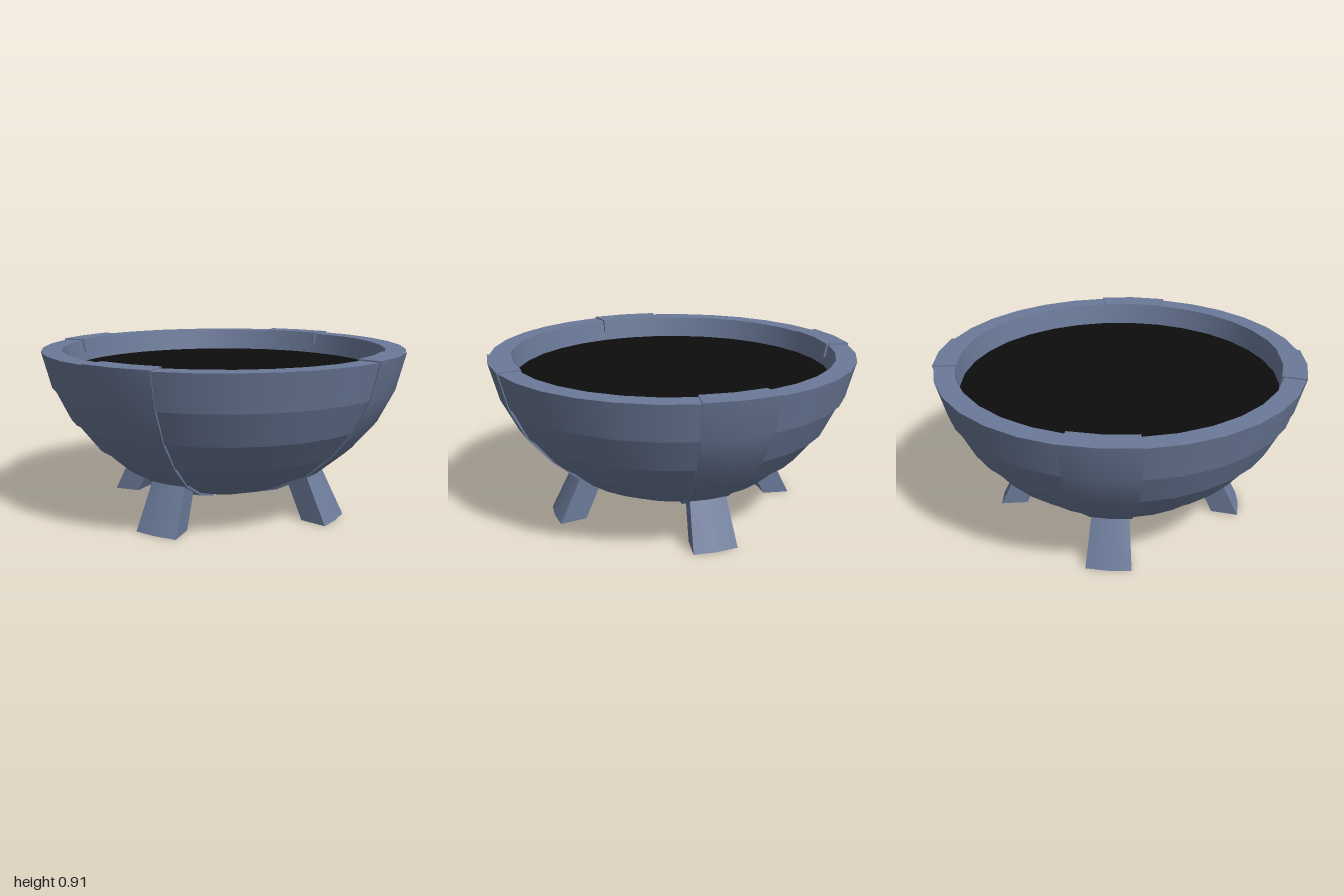
import * as THREE from 'three';
import { mergeGeometries } from 'three/addons/utils/BufferGeometryUtils.js';

const SEGMENTS = 32;
const metal = new THREE.MeshStandardMaterial({ name: 'blue grey metal', color: 0x6b7a99 });
const dark = new THREE.MeshStandardMaterial({ name: 'black filling', color: 0x0d0d0d });

const points = (list) => list.map(([r, y]) => new THREE.Vector2(r, y));
const rad = THREE.MathUtils.degToRad;

// Each run of profile points is smooth; edges between runs stay sharp.
function revolve(runs, start = 0, length = Math.PI * 2, segments = SEGMENTS) {
  return runs.map((run) => new THREE.LatheGeometry(points(run), segments, start, length));
}

// Slice of a revolved closed profile (counter-clockwise), with flat side caps.
function wedge(runs, start, end, segments = 2) {
  const parts = revolve(runs, start, end - start, segments);
  const shape = new THREE.Shape(points(runs.flatMap((run) => run.slice(0, -1))));
  for (const [angle, flip] of [[start, false], [end, true]]) {
    const cap = new THREE.ShapeGeometry(shape);
    if (flip) {
      cap.index.array.reverse();
      cap.attributes.normal.array.fill(-1, 2, 3);
      cap.computeVertexNormals();
    }
    parts.push(cap.rotateY(angle - Math.PI / 2));
  }
  return mergeGeometries(parts);
}

function add(parent, name, geometry, material) {
  const mesh = new THREE.Mesh(geometry, material);
  mesh.name = name;
  parent.add(mesh);
  return mesh;
}

export function createModel() {
  const model = new THREE.Group();
  model.name = 'fireBowl';

  // Bowl: rounded base, four overlapping bands, flat rim and inner wall
  const bowl = [
    [[0, 0.07], [0.19, 0.092], [0.38, 0.155], [0.56, 0.25]],
    [[0.56, 0.25], [0.57, 0.247]],
    [[0.57, 0.247], [0.715, 0.378]],
    [[0.715, 0.378], [0.725, 0.374]],
    [[0.725, 0.374], [0.848, 0.532]],
    [[0.848, 0.532], [0.856, 0.528]],
    [[0.856, 0.528], [0.942, 0.708]],
    [[0.942, 0.708], [0.95, 0.705]],
    [[0.95, 0.705], [1, 0.9]],
    [[1, 0.9], [0.89, 0.9]],
    [[0.89, 0.9], [0.87, 0.77]],
  ];
  add(model, 'bowl', mergeGeometries(revolve(bowl)), metal);

  // Dark filling inside the rim
  const filling = new THREE.CircleGeometry(0.876, SEGMENTS).rotateX(-Math.PI / 2);
  add(model, 'filling', filling, dark).position.y = 0.78;

  // Curved strap hooked over the rim
  const strap = wedge([
    [[0.18, 0.08], [0.385, 0.142], [0.575, 0.24], [0.735, 0.374], [0.866, 0.528], [0.956, 0.705], [1.008, 0.907]],
    [[1.008, 0.907], [0.878, 0.907]],
    [[0.878, 0.907], [0.866, 0.83]],
    [[0.866, 0.83], [0.93, 0.83]],
    [[0.93, 0.83], [0.91, 0.705], [0.82, 0.54], [0.69, 0.4], [0.54, 0.28], [0.37, 0.18], [0.18, 0.11]],
    [[0.18, 0.11], [0.18, 0.08]],
  ], rad(-45), rad(-22.5));

  // Splayed leg below each strap
  const leg = wedge([
    [[0.55, 0], [0.7, 0]],
    [[0.7, 0], [0.578, 0.245]],
    [[0.578, 0.245], [0.43, 0.245]],
    [[0.43, 0.245], [0.55, 0]],
  ], rad(-43.75), rad(-23.75));

  for (let i = 0; i < 4; i++) {
    const support = new THREE.Group();
    support.name = 'support' + (i + 1);
    support.rotation.y = (i * Math.PI) / 2;
    add(support, 'strap', strap, metal);
    add(support, 'leg', leg, metal);
    model.add(support);
  }
  return model;
}
